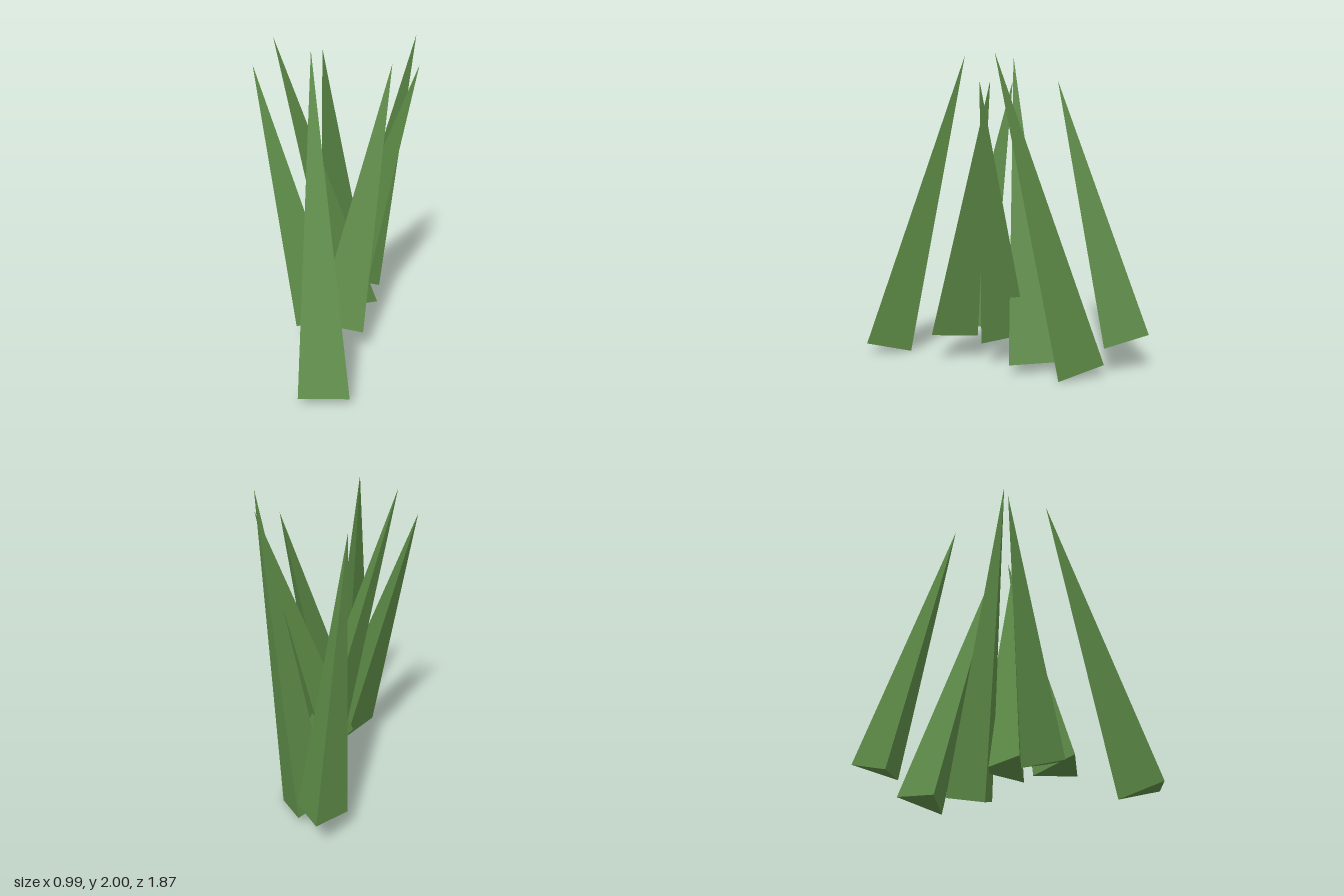
import * as THREE from 'three';

const UP = new THREE.Vector3(0, 1, 0);

// Each blade: base centre [x, z] and tip [x, z]
const TALL = { baseY: 0.05, tipY: 2.0, blades: [
  [[0, 0.85], [-0.12, 0.31]],
  [[0.13, -0.5], [0.465, -0.065]],
  [[0.125, -0.187], [-0.372, 0.052]],
] };
const SHORT = { baseY: 0.21, tipY: 1.84, blades: [
  [[0.03, 0.025], [0.49, 0.017]],
  [[0.05, 0.355], [0.33, 0.003]],
  [[-0.08, 0.295], [-0.495, 0.09]],
  [[-0.02, -0.76], [-0.12, -0.307]],
] };

// Three-sided spike leaning from its base centre to its tip
function makeBlade(base, tip, material) {
  const axis = tip.clone().sub(base);
  const geometry = new THREE.ConeGeometry(0.178, axis.length(), 3);
  geometry.rotateY(Math.PI); // one base corner points back
  const blade = new THREE.Mesh(geometry, material);
  blade.position.copy(base).add(tip).multiplyScalar(0.5);
  blade.quaternion.setFromUnitVectors(UP, axis.normalize());
  return blade;
}

export function createModel() {
  const group = new THREE.Group();
  group.name = 'grassTuft';
  const grass = new THREE.MeshStandardMaterial({ color: 0x5c8a46, flatShading: true });
  grass.name = 'grass green';

  for (const [name, set] of [['tallBlade', TALL], ['shortBlade', SHORT]]) {
    set.blades.forEach(([b, t], i) => {
      const blade = makeBlade(
        new THREE.Vector3(b[0], set.baseY, b[1]),
        new THREE.Vector3(t[0], set.tipY, t[1]),
        grass,
      );
      blade.name = name + (i + 1);
      group.add(blade);
    });
  }
  return group;
}
